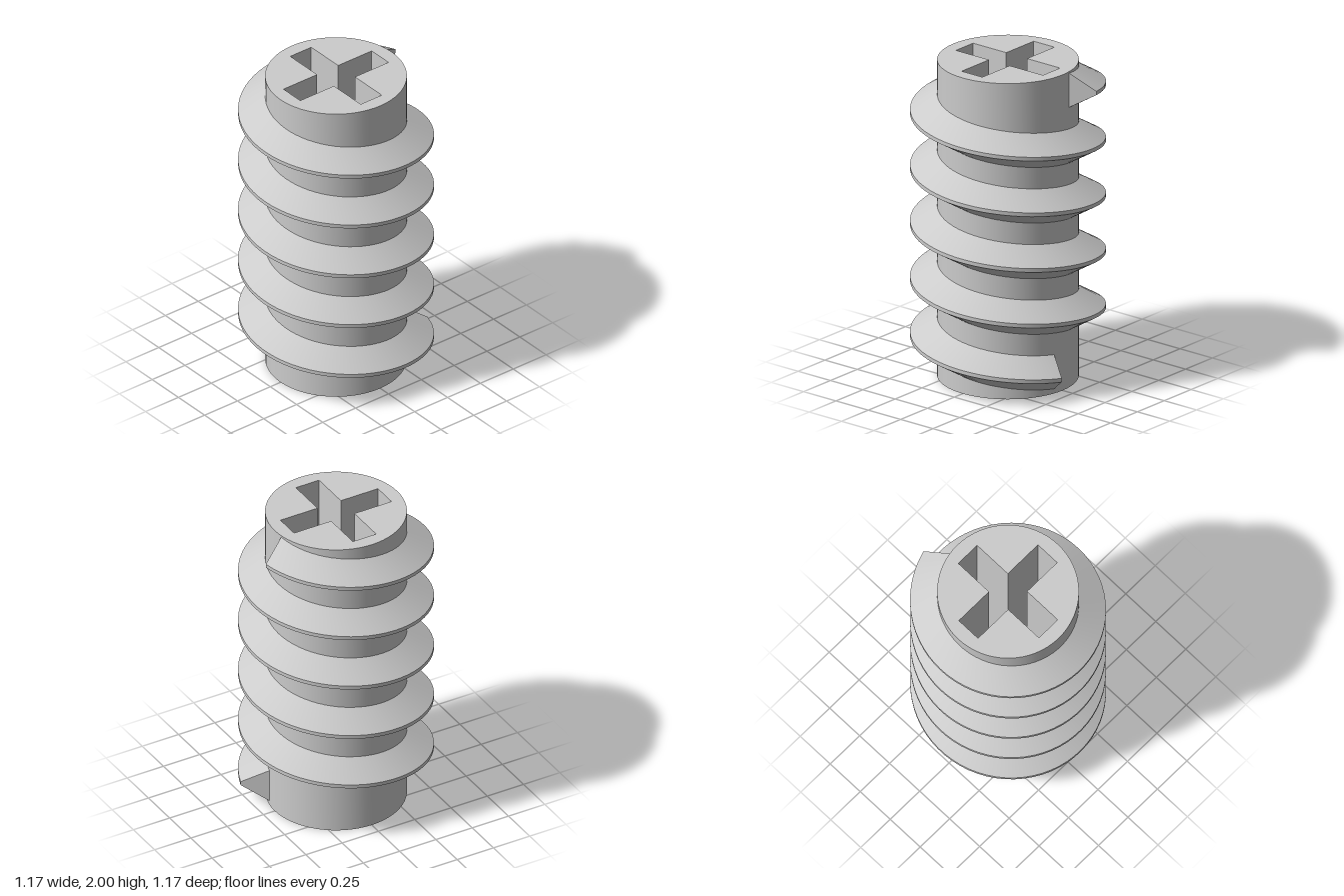
import * as THREE from 'three';
import { toCreasedNormals } from 'three/addons/utils/BufferGeometryUtils.js';

const CORE_R = 0.422, CREST_R = 0.583, HEIGHT = 2;
const PITCH = 0.3525, START_Y = 0.128, TURNS = 5, STEPS = 64;
const rad = THREE.MathUtils.degToRad;

// Cylinder with a cross-shaped socket running right through it
function coreGeometry() {
  const disc = new THREE.Shape();
  disc.absarc(0, 0, CORE_R, 0, Math.PI * 2, false);
  const w = 0.08, l = 0.336;
  const cross = [[l, -w], [l, w], [w, w], [w, l], [-w, l], [-w, w],
    [-l, w], [-l, -w], [-w, -w], [-w, -l], [w, -l], [w, -w]];
  disc.holes.push(new THREE.Path(cross.map(([x, y]) => new THREE.Vector2(x, y))));
  const geo = new THREE.ExtrudeGeometry(disc, { depth: HEIGHT, bevelEnabled: false, curveSegments: 32 });
  geo.rotateX(-Math.PI / 2);
  return toCreasedNormals(geo, 0.5);
}

// Trapezoid section swept along a helix; the end faces are slightly skewed
function threadGeometry() {
  const full = TURNS * Math.PI * 2;
  const root = { r: CORE_R - 0.003, from: rad(9.5), to: full - rad(9) };
  const crest = { r: CREST_R, from: rad(17), to: full - rad(14) };
  const section = [[root, 0.11], [crest, 0.012], [crest, -0.012], [root, -0.11]];
  const n = TURNS * STEPS, pos = [], index = [];
  for (let i = 0; i <= n; i++) {
    for (const [edge, dy] of section) {
      const a = THREE.MathUtils.lerp(edge.from, edge.to, i / n);
      pos.push(edge.r * Math.cos(a), START_Y + PITCH * a / (Math.PI * 2) + dy, edge.r * Math.sin(a));
    }
  }
  for (let i = 0; i < n; i++) {
    for (let k = 0; k < 3; k++) {
      const a = i * 4 + k, b = a + 4;
      index.push(a, b, a + 1, b, b + 1, a + 1);
    }
  }
  // End faces
  const e = n * 4;
  index.push(0, 1, 2, 0, 2, 3, e, e + 2, e + 1, e, e + 3, e + 2);
  const geo = new THREE.BufferGeometry();
  geo.setAttribute('position', new THREE.Float32BufferAttribute(pos, 3));
  geo.setIndex(index);
  return toCreasedNormals(geo, 0.5);
}

export function createModel() {
  const group = new THREE.Group();
  group.name = 'setScrew';
  const material = new THREE.MeshStandardMaterial({ color: 0xcccccc });
  const add = (name, geo) => {
    const mesh = new THREE.Mesh(geo, material);
    mesh.name = name;
    group.add(mesh);
  };
  add('core', coreGeometry());
  add('thread', threadGeometry());
  return group;
}
